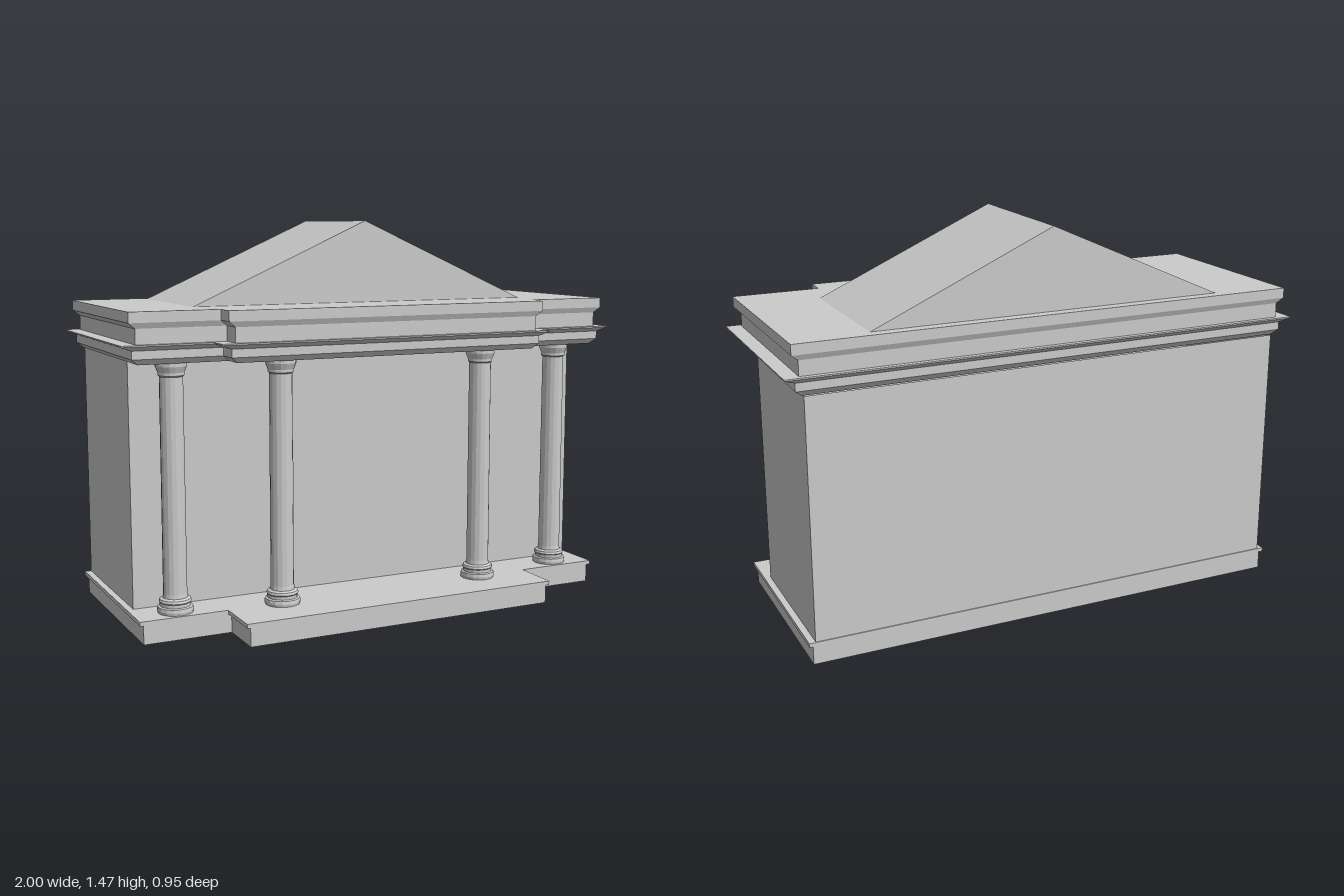
import * as THREE from 'three';

const material = new THREE.MeshStandardMaterial({ color: 0xcccccc, flatShading: true });
const doubleSided = new THREE.MeshStandardMaterial({ color: 0xcccccc, flatShading: true, side: THREE.DoubleSide });

const WALL = { x: 0.93, back: -0.45, front: 0.13 };

function add(parent, name, geometry, mat = material) {
  const mesh = new THREE.Mesh(geometry, mat);
  mesh.name = name;
  parent.add(mesh);
  return mesh;
}

// Plan outline with a projecting centre bay, grown by dx and dz, as [x, z] corners
function outline(p, dx, dz) {
  const W = p.x + dx, c = p.bay + dx;
  const back = p.back - dz, wing = p.wing + dz, front = p.front + dz;
  return [[-W, wing], [-c, wing], [-c, front], [c, front], [c, wing], [W, wing], [W, back], [-W, back]];
}

// Moulding band: the plan outline lofted through levels of [y, dx, dz]
function mouldingGeometry(plan, levels) {
  const pos = [];
  for (let i = 0; i < levels.length - 1; i++) {
    const [y0, ax, az] = levels[i], [y1, bx, bz] = levels[i + 1];
    const lo = outline(plan, ax, az), hi = outline(plan, bx, bz);
    for (let k = 0; k < lo.length; k++) {
      const n = (k + 1) % lo.length;
      const a = [lo[k][0], y0, lo[k][1]], b = [lo[n][0], y0, lo[n][1]];
      const c = [hi[n][0], y1, hi[n][1]], d = [hi[k][0], y1, hi[k][1]];
      pos.push(...a, ...b, ...c, ...a, ...c, ...d);
    }
  }
  const g = new THREE.BufferGeometry();
  g.setAttribute('position', new THREE.Float32BufferAttribute(pos, 3));
  g.computeVertexNormals();
  return g;
}

// Flat cap over the outline, optionally left open inside the walls
function capGeometry(plan, [y, dx, dz], up, open) {
  const shape = new THREE.Shape(outline(plan, dx, dz).map(([x, z]) => new THREE.Vector2(x, -z)));
  if (open) {
    const { x, back, front } = WALL;
    shape.holes.push(new THREE.Path([[-x, back], [x, back], [x, front], [-x, front]]
      .map(([px, pz]) => new THREE.Vector2(px, -pz))));
  }
  const g = new THREE.ShapeGeometry(shape);
  if (!up) {
    const ix = g.index.array;
    for (let i = 0; i < ix.length; i += 3) [ix[i], ix[i + 1]] = [ix[i + 1], ix[i]];
  }
  g.rotateX(-Math.PI / 2).translate(0, y, 0);
  g.computeVertexNormals();
  return g;
}

function addMoulding(parent, name, plan, levels, open) {
  const group = new THREE.Group();
  group.name = name;
  add(group, name + 'Sides', mouldingGeometry(plan, levels));
  add(group, name + 'Top', capGeometry(plan, levels[levels.length - 1], true, open));
  add(group, name + 'Underside', capGeometry(plan, levels[0], false, open));
  parent.add(group);
}

export function createModel() {
  const model = new THREE.Group();
  model.name = 'porticoBuilding';

  // Stepped floor slab with a thin lip
  addMoulding(model, 'base', { x: 0.94, bay: 0.613, back: -0.45, wing: 0.286, front: 0.471 }, [
    [0, 0, 0], [0.07, 0, 0], [0.07, 0.014, 0.004], [0.085, 0.014, 0.004],
  ], true);

  // Hall walls, open underneath
  const { x, back, front } = WALL;
  const wallShape = [[-x, front], [x, front], [x, back], [-x, back]];
  const wallPos = [];
  wallShape.forEach(([ax, az], i) => {
    const [bx, bz] = wallShape[(i + 1) % 4];
    wallPos.push(ax, 0, az, bx, 0, bz, bx, 0.98, bz, ax, 0, az, bx, 0.98, bz, ax, 0.98, az);
  });
  const walls = new THREE.BufferGeometry();
  walls.setAttribute('position', new THREE.Float32BufferAttribute(wallPos, 3));
  walls.computeVertexNormals();
  add(model, 'walls', walls, doubleSided);

  // Entablature: architrave, projecting shelf, frieze and cornice
  addMoulding(model, 'entablature', { x: 0.945, bay: 0.615, back: -0.453, wing: 0.283, front: 0.364 }, [
    [0.98, -0.01, -0.012], [1.0, 0.015, 0.003], [1.03, 0.015, 0.003], [1.045, 0.055, 0.02],
    [1.05, 0.055, 0.02], [1.05, 0, 0], [1.105, 0, 0], [1.125, 0.025, 0.009], [1.163, 0.025, 0.009],
  ], false);

  // Gable roof
  const gable = new THREE.Shape([
    new THREE.Vector2(-0.685, 1.163), new THREE.Vector2(0.685, 1.163), new THREE.Vector2(0, 1.467),
  ]);
  const roof = new THREE.ExtrudeGeometry(gable, { depth: 0.55, bevelEnabled: false });
  add(model, 'roof', roof.translate(0, 0, -0.42));

  // Columns: the inner pair stands forward of the outer pair
  const profile = [
    [0, 0.085], [0.064, 0.085], [0.066, 0.095], [0.064, 0.107], [0.056, 0.11], [0.056, 0.122],
    [0.059, 0.126], [0.056, 0.135], [0.045, 0.14], [0.043, 0.155], [0.042, 0.93], [0.047, 0.935],
    [0.047, 0.945], [0.054, 0.962], [0.056, 0.967], [0.056, 0.98], [0, 0.98],
  ].map(([r, y]) => new THREE.Vector2(r, y));
  const column = new THREE.LatheGeometry(profile, 16);
  for (const side of [-1, 1]) {
    add(model, 'outerColumn', column).position.set(side * 0.8, 0, 0.217);
    add(model, 'innerColumn', column).position.set(side * 0.415, 0, 0.287);
  }

  return model;
}
